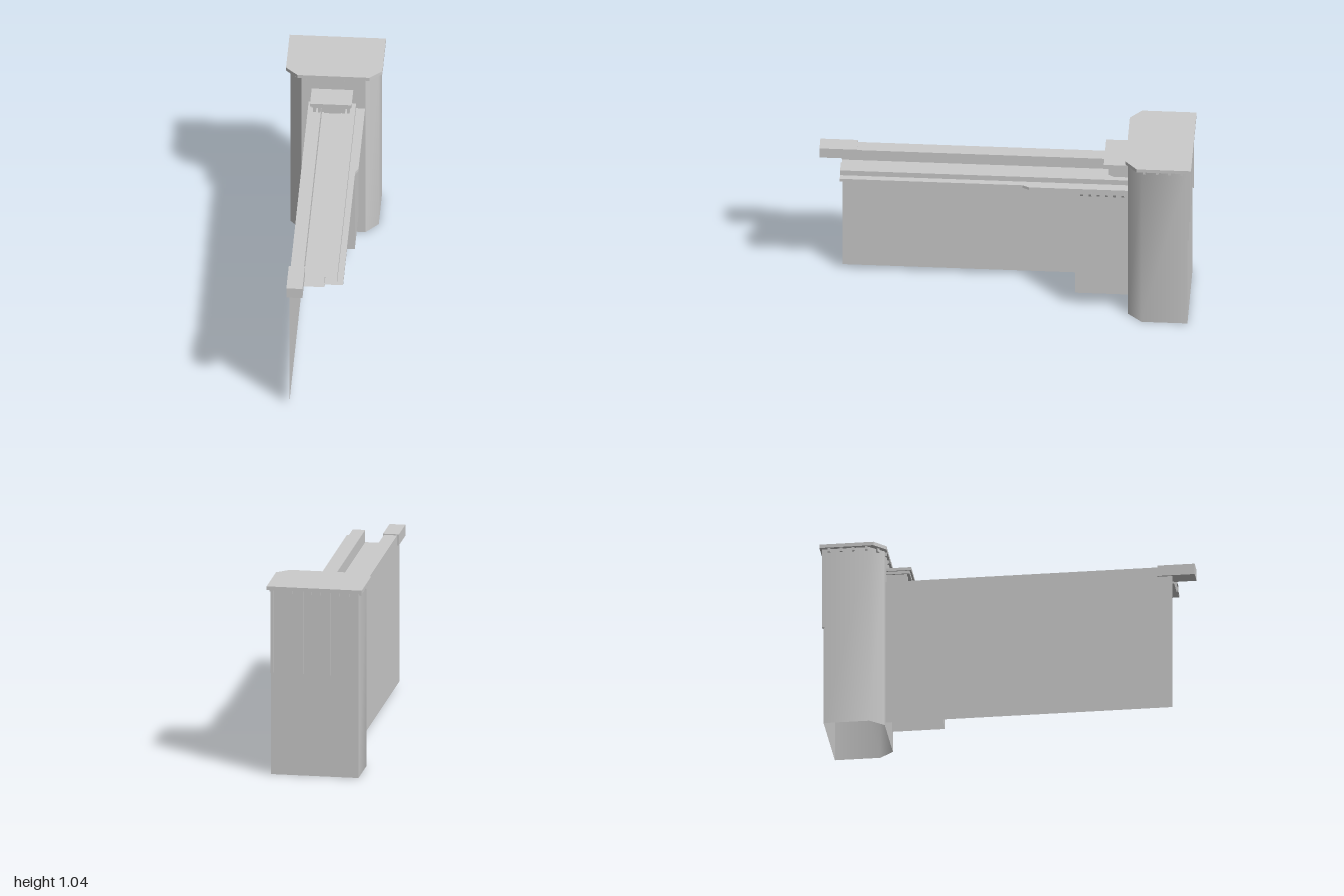
import * as THREE from 'three';
import { toCreasedNormals } from 'three/addons/utils/BufferGeometryUtils.js';

export function createModel() {
  const model = new THREE.Group();
  const material = new THREE.MeshStandardMaterial({ color: 0xcccccc, side: THREE.DoubleSide });

  function add(name, geometry, parent = model) {
    const mesh = new THREE.Mesh(geometry, material);
    mesh.name = name;
    parent.add(mesh);
    return mesh;
  }

  function group(name) {
    const g = new THREE.Group();
    g.name = name;
    model.add(g);
    return g;
  }

  // Box given by its limits on each axis
  function box(name, [x0, x1], [y0, y1], [z0, z1], parent) {
    const g = new THREE.BoxGeometry(x1 - x0, y1 - y0, z1 - z0);
    g.translate((x0 + x1) / 2, (y0 + y1) / 2, (z0 + z1) / 2);
    return add(name, g, parent);
  }

  // Open sheet: a polyline swept between two levels, place(a, b, level) gives the corner
  function sheet(points, from, to, place) {
    const pos = [];
    for (let i = 0; i < points.length - 1; i++) {
      const [p, q] = [points[i], points[i + 1]];
      const a = place(...p, from), b = place(...q, from);
      const c = place(...q, to), d = place(...p, to);
      pos.push(...a, ...b, ...c, ...a, ...c, ...d);
    }
    const g = new THREE.BufferGeometry();
    g.setAttribute('position', new THREE.Float32BufferAttribute(pos, 3));
    g.computeVertexNormals();
    return g;
  }
  const upright = (x, z, y) => [x, y, z];
  const alongZ = (x, y, z) => [x, y, z];

  // Solid slab with an outline in x and z
  function slab(name, outline, y0, y1, parent) {
    const shape = new THREE.Shape(outline.map(([x, z]) => new THREE.Vector2(x, -z)));
    const g = new THREE.ExtrudeGeometry(shape, { depth: y1 - y0, bevelEnabled: false });
    g.rotateX(-Math.PI / 2).translate(0, y0, 0);
    return add(name, g, parent);
  }

  // Tower shell, open below, with softened front corners
  const tower = group('tower');
  const plan = [
    [-0.236, -0.98], [-0.236, -0.735], [-0.17, -0.66], [0.17, -0.66],
    [0.236, -0.735], [0.236, -0.98], [-0.236, -0.98],
  ];
  add('towerShell', toCreasedNormals(sheet(plan, 0, 1.02, upright), Math.PI / 4), tower);
  slab('towerRoof', [
    [-0.257, -1], [-0.257, -0.71], [-0.192, -0.648],
    [0.192, -0.648], [0.257, -0.71], [0.257, -1],
  ], 1.02, 1.04, tower);

  // Small blocks under the roof edge
  for (const x of [-0.15, -0.05, 0.05, 0.15])
    box('frontRoofBlock', [x - 0.007, x + 0.007], [1.0, 1.02], [-0.665, -0.65], tower);
  for (const s of [-1, 1]) {
    for (const z of [-0.75, -0.82, -0.885, -0.95]) {
      const x = s * 0.241;
      box('sideRoofBlock', [x - 0.008, x + 0.008], [1.0, 1.02], [z - 0.007, z + 0.007], tower);
    }
    const corner = box('cornerRoofBlock', [-0.007, 0.007], [1.0, 1.02], [-0.01, 0.01], tower);
    corner.position.set(s * 0.206, 0, -0.695);
    corner.rotation.y = s * 0.72;
  }
  for (let i = 0; i < 10; i++) {
    const x = -0.232 + (i * 0.464) / 9;
    if (i % 3) box('backRoofBlock', [x - 0.007, x + 0.007], [1.0, 1.02], [-0.993, -0.978], tower);
  }

  // Long ribs down the upper back
  for (const x of [-0.23, -0.076, 0.07, 0.23])
    box('backRib', [x - 0.008, x + 0.008], [0.56, 1.02], [-0.987, -0.975], tower);

  // Wall, walkway and parapets as one open profile running to the tower
  const wallProfile = [
    [-0.133, 0.032], [-0.133, 0.857], [-0.062, 0.857], [-0.062, 0.79], [0.053, 0.79],
    [0.053, 0.857], [0.12, 0.857], [0.12, 0.825], [0.152, 0.825], [0.152, 0.808], [0.053, 0.808],
  ];
  add('wallAndWalkway', sheet(wallProfile, 0.88, -0.66, alongZ));
  box('wallEndBlock', [-0.143, -0.057], [0.802, 0.863], [0.8, 1.0]);

  // Buttress and the wider ledge it carries
  add('buttress', sheet([[0.053, -0.375], [0.132, -0.375], [0.132, -0.66]], 0.1, 0.808, upright));
  slab('wideLedge', [[0.12, -0.09], [0.15, -0.09], [0.168, -0.13], [0.168, -0.66], [0.12, -0.66]], 0.808, 0.825);

  // Bracket with a slanted foot, reaching out along +x from its origin
  function bracketGeometry(reach, height, width) {
    const shape = new THREE.Shape();
    shape.moveTo(0, 0).lineTo(0, -height).lineTo(reach * 0.5, -height * 0.9);
    shape.lineTo(reach, -height * 0.55).lineTo(reach, 0);
    const g = new THREE.ExtrudeGeometry(shape, { depth: width, bevelEnabled: false });
    return g.translate(0, 0, -width / 2);
  }
  const ledgeBrackets = group('ledgeBrackets');
  for (let i = 0; i < 6; i++) {
    add('ledgeBracket', bracketGeometry(0.02, 0.055, 0.015), ledgeBrackets)
      .position.set(0.132, 0.808, -0.41 - i * 0.044);
  }

  // Doorway onto the walkway with a bracketed canopy
  const doorway = group('doorway');
  box('door', [-0.052, 0.04], [0.79, 0.887], [-0.665, -0.652], doorway);
  box('canopyTop', [-0.117, 0.105], [0.928, 0.945], [-0.66, -0.525], doorway);
  box('canopyBase', [-0.11, 0.098], [0.912, 0.928], [-0.66, -0.535], doorway);
  for (const x of [-0.095, -0.07, 0.06, 0.085]) {
    const bracket = add('canopyBracket', bracketGeometry(0.11, 0.075, 0.014), doorway);
    bracket.rotation.y = -Math.PI / 2;
    bracket.position.set(x, 0.912, -0.66);
  }
  return model;
}
